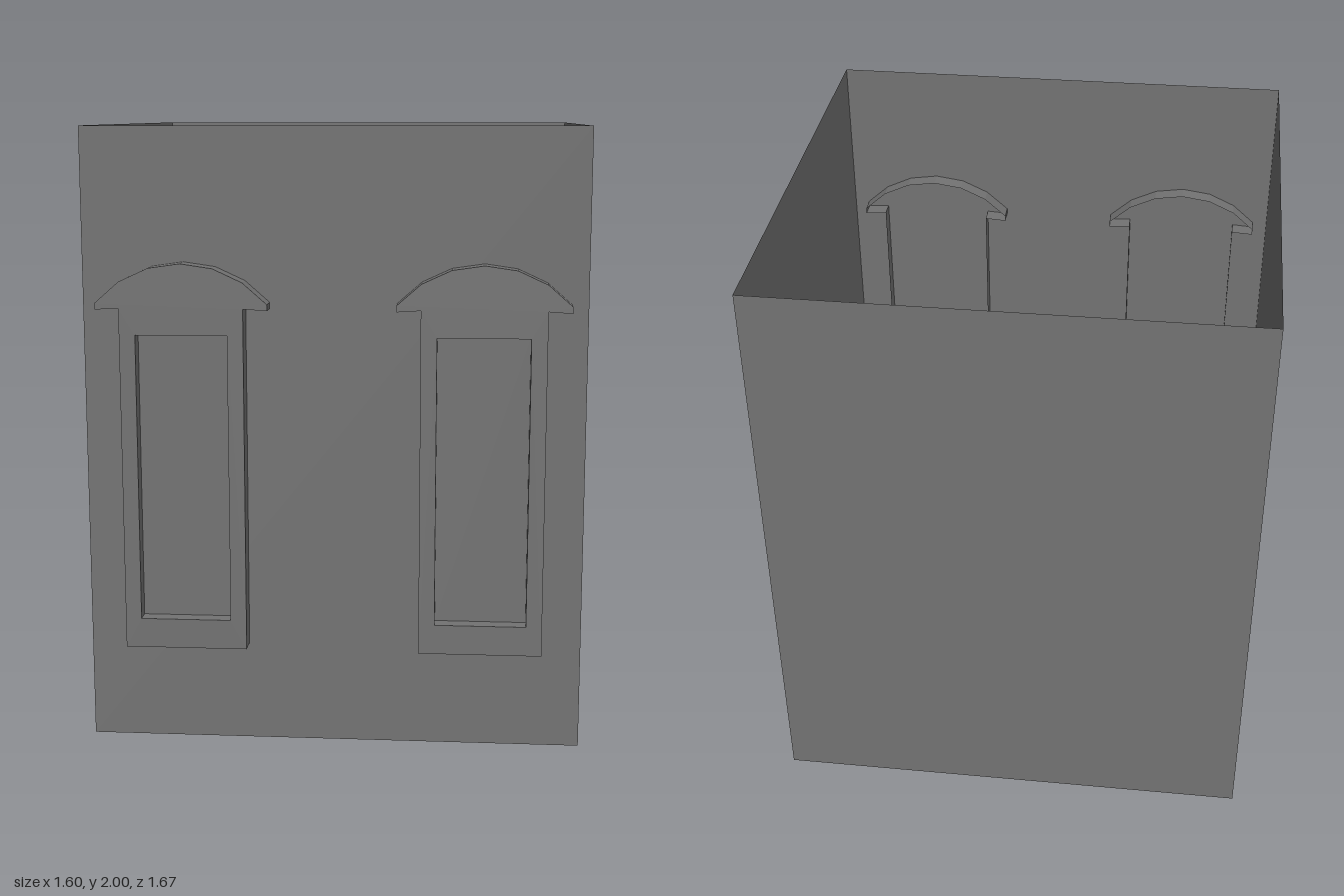
import * as THREE from 'three';

const material = new THREE.MeshStandardMaterial({ color: 0x737373, side: THREE.DoubleSide, flatShading: true });

const WALL_FRONT = 0.765, WALL_BACK = -0.835;
const FRAME_FRONT = 0.835, FRAME_BACK = 0.705, PANE = 0.785;

function addMesh(parent, name, geometry) {
  const mesh = new THREE.Mesh(geometry, material);
  mesh.name = name;
  parent.add(mesh);
  return mesh;
}

// Closed band that sweeps a counter-clockwise outline from z0 to z1, without caps
function band(points, z0, z1) {
  const pos = [];
  points.forEach((a, i) => {
    const b = points[(i + 1) % points.length];
    pos.push(a.x, a.y, z0, b.x, b.y, z0, b.x, b.y, z1);
    pos.push(a.x, a.y, z0, b.x, b.y, z1, a.x, a.y, z1);
  });
  const geometry = new THREE.BufferGeometry();
  geometry.setAttribute('position', new THREE.Float32BufferAttribute(pos, 3));
  geometry.computeVertexNormals();
  return geometry;
}

// Outline of the frame: jambs, short eaves and a shallow arched hood
function frameOutline() {
  const p = (x, y) => new THREE.Vector2(x, y);
  const points = [p(-0.197, 0.326), p(0.197, 0.326), p(0.197, 1.435), p(0.273, 1.43)];
  const half = 0.273, spring = 1.45, rise = 0.126, segments = 6;
  const radius = (half * half + rise * rise) / (2 * rise);
  const sweep = Math.asin(half / radius);
  for (let i = 0; i <= segments; i++) {
    const a = sweep * (1 - (2 * i) / segments);
    points.push(p(radius * Math.sin(a), spring + rise - radius + radius * Math.cos(a)));
  }
  points.push(p(-0.273, 1.43), p(-0.197, 1.435));
  return points;
}

function createWindow(name, x) {
  const group = new THREE.Group();
  group.name = name;
  group.position.x = x;

  const outline = frameOutline();
  const opening = [[-0.146, 0.422], [0.146, 0.422], [0.146, 1.35], [-0.146, 1.35]]
    .map(([px, py]) => new THREE.Vector2(px, py));

  const face = new THREE.Shape(outline);
  face.holes.push(new THREE.Path(opening));
  addMesh(group, 'frameFace', new THREE.ShapeGeometry(face)).position.z = FRAME_FRONT;

  // The outer edge passes through the wall; the reveal stops at the pane
  addMesh(group, 'frameEdge', band(outline, FRAME_BACK, FRAME_FRONT));
  addMesh(group, 'openingReveal', band(opening.slice().reverse(), PANE, FRAME_FRONT));
  addMesh(group, 'pane', new THREE.ShapeGeometry(new THREE.Shape(opening))).position.z = PANE;
  return group;
}

export function createModel() {
  const model = new THREE.Group();
  model.name = 'buildingSection';

  // Four thin walls, open at the top and bottom
  const depth = WALL_FRONT - WALL_BACK, middle = (WALL_FRONT + WALL_BACK) / 2;
  const walls = [
    ['frontWall', 0, WALL_FRONT, 0, 1.6],
    ['backWall', 0, WALL_BACK, Math.PI, 1.6],
    ['leftWall', 0.8, middle, Math.PI / 2, depth],
    ['rightWall', -0.8, middle, -Math.PI / 2, depth],
  ];
  for (const [name, x, z, turn, width] of walls) {
    const wall = addMesh(model, name, new THREE.PlaneGeometry(width, 2));
    wall.position.set(x, 1, z);
    wall.rotation.y = turn;
  }

  // Pair of windows on the front
  model.add(createWindow('leftWindow', 0.475), createWindow('rightWindow', -0.475));
  return model;
}
